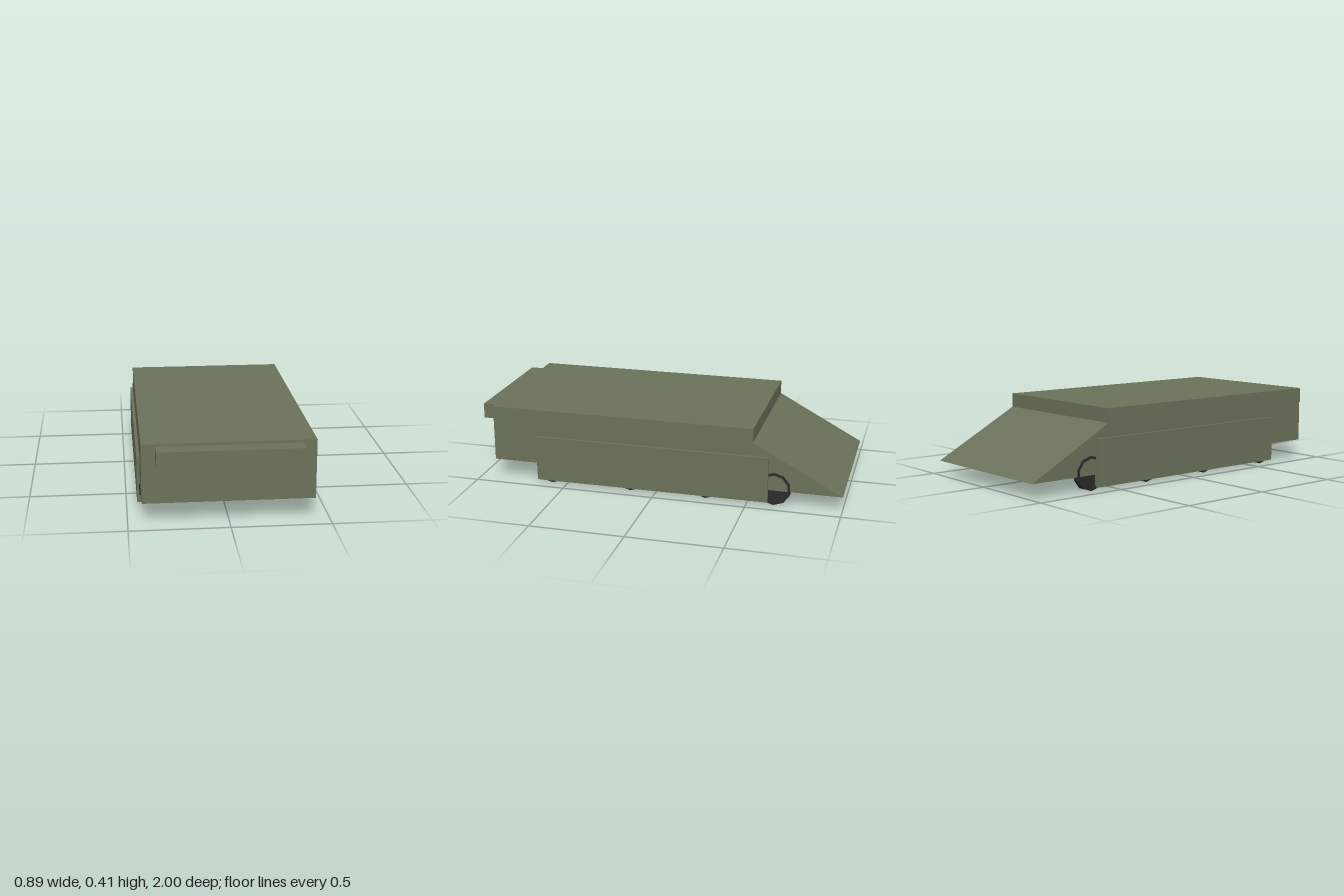
import * as THREE from 'three';

export function createModel() {
  const group = new THREE.Group();
  const olive = new THREE.MeshStandardMaterial({ name: 'olive', color: 0x6a725a });
  const rubber = new THREE.MeshStandardMaterial({ name: 'rubber', color: 0x2b2b2b });

  const add = (name, geometry, material) => {
    const mesh = new THREE.Mesh(geometry, material);
    mesh.name = name;
    group.add(mesh);
    return mesh;
  };
  // box from its low and high limits on each axis
  const box = (name, [x0, x1], [y0, y1], [z0, z1]) => {
    const mesh = add(name, new THREE.BoxGeometry(x1 - x0, y1 - y0, z1 - z0), olive);
    mesh.position.set((x0 + x1) / 2, (y0 + y1) / 2, (z0 + z1) / 2);
  };

  // hull and the bar across its front
  box('hull', [-0.43, 0.43], [0.105, 0.41], [-0.525, 0.915]);
  box('frontBar', [-0.36, 0.36], [0.315, 0.396], [0.915, 1]);

  // wedge at the back: a triangular prism partly sunk into the hull
  const profile = new THREE.Shape([
    new THREE.Vector2(-1, 0.08),
    new THREE.Vector2(-0.388, 0.08),
    new THREE.Vector2(-0.388, 0.408),
  ]);
  const wedge = new THREE.ExtrudeGeometry(profile, { depth: 0.86, bevelEnabled: false });
  wedge.rotateY(-Math.PI / 2).translate(0.43, 0, 0);
  add('rearWedge', wedge, olive);

  // ten-sided wheel with a raised rim and a recessed outer face
  const rim = [[0, 0.4], [0.09, 0.4], [0.09, 0.434], [0.076, 0.434], [0.076, 0.424], [0, 0.424]];
  const wheel = new THREE.LatheGeometry(
    rim.map(([r, h]) => new THREE.Vector2(r, h)), 10, Math.PI / 2).toNonIndexed();
  wheel.computeVertexNormals();

  for (const side of [1, -1]) {
    const label = side > 0 ? 'left' : 'right';
    const xs = side > 0 ? [0.419, 0.446] : [-0.446, -0.419];
    box(label + 'Skirt', xs, [0.015, 0.262], [-0.61, 0.665]);
    [0.585, 0.14, -0.275, -0.64].forEach((z, i) => {
      const mesh = add(label + 'Wheel' + (i + 1), wheel, rubber);
      mesh.rotation.z = -side * Math.PI / 2;
      mesh.position.set(0, 0.09, z);
    });
  }
  return group;
}
